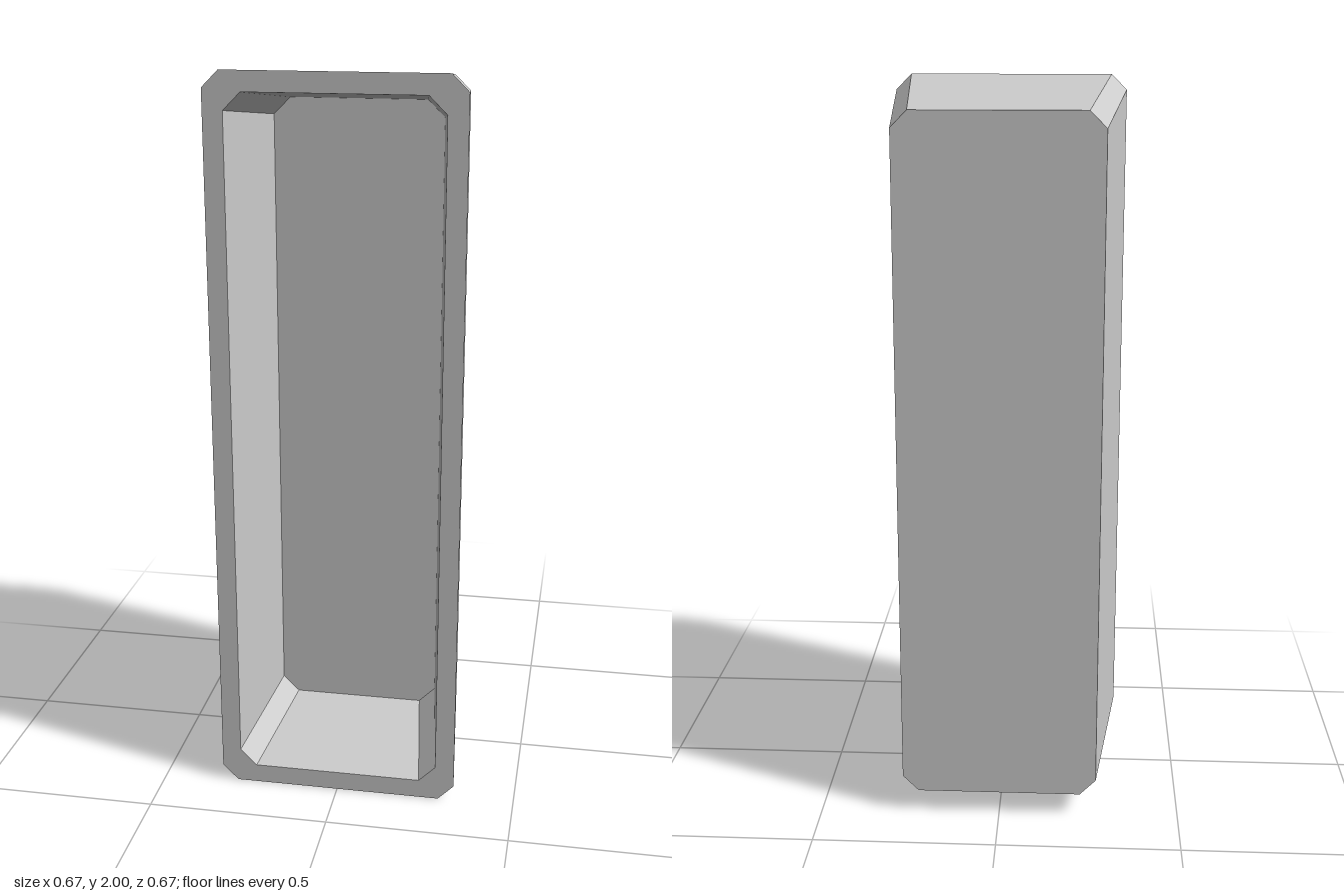
import * as THREE from 'three';

// Upright octagonal section: a rectangle with cut corners, anticlockwise from the front
function section(halfWidth, bottom, top, cut, z) {
  const w = halfWidth, c = cut;
  return [
    [-w + c, bottom], [w - c, bottom], [w, bottom + c], [w, top - c],
    [w - c, top], [-w + c, top], [-w, top - c], [-w, bottom + c],
  ].map(([x, y]) => new THREE.Vector3(x, y, z));
}

// Flat-shaded triangles from a list of corner points
function facets(name, points, material) {
  const geometry = new THREE.BufferGeometry().setFromPoints(points);
  geometry.computeVertexNormals();
  const mesh = new THREE.Mesh(geometry, material);
  mesh.name = name;
  return mesh;
}

// Band of quads joining two sections
function band(a, b) {
  return a.flatMap((p, i) => {
    const j = (i + 1) % a.length;
    return [p, a[j], b[j], p, b[j], b[i]];
  });
}

// Flat panel filling a section
function panel(ring, facingBack = false) {
  const points = [];
  for (let i = 1; i < ring.length - 1; i++) {
    points.push(ring[0], ...(facingBack ? [ring[i + 1], ring[i]] : [ring[i], ring[i + 1]]));
  }
  return points;
}

export function createModel() {
  const group = new THREE.Group();
  group.name = 'taperedCase';
  const material = new THREE.MeshStandardMaterial({ color: 0xcccccc, flatShading: true });

  const outerBack = section(0.27, 0.065, 1.935, 0.044, -0.333);
  const outerFront = section(0.333, 0, 2, 0.044, 0.333);
  const innerFront = section(0.28, 0.053, 1.947, 0.046, 0.333);
  const innerBack = section(0.233, 0.102, 1.898, 0.046, -0.027);

  group.add(
    facets('outerWalls', band(outerBack, outerFront), material),
    facets('frontRim', band(outerFront, innerFront), material),
    facets('recessWalls', band(innerFront, innerBack), material),
    facets('recessBack', panel(innerBack), material),
    facets('backPanel', panel(outerBack, true), material),
  );
  return group;
}
